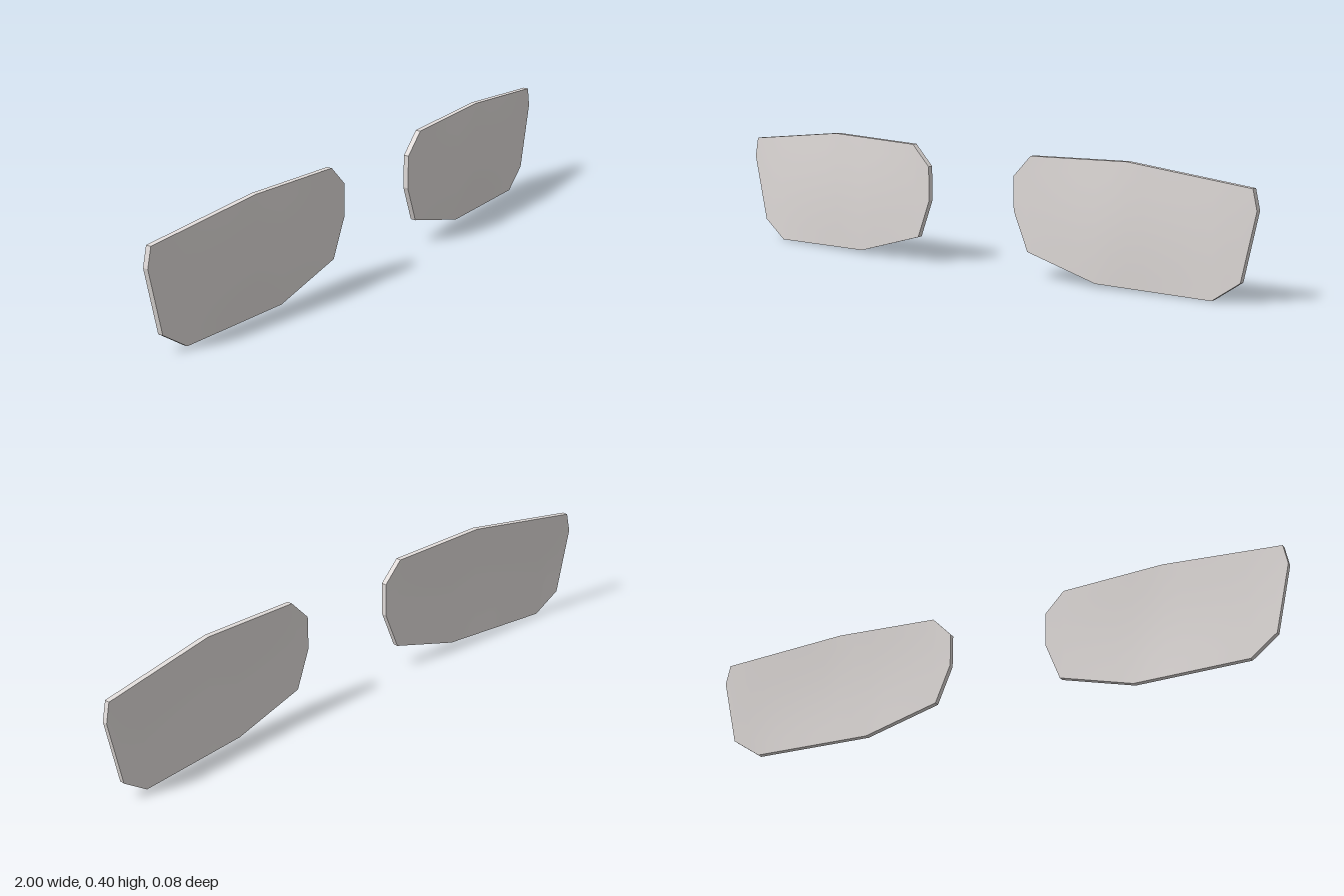
import * as THREE from 'three';

// Front outline of the left panel as [x, y, z]: upper and lower edges, inner end to outer end
const TOP = [[0.17, 0.318, 0.041], [0.235, 0.386, 0.041], [0.58, 0.395, 0.027], [0.985, 0.345, -0.019], [0.999, 0.28, -0.021]];
const BOTTOM = [[0.17, 0.208, 0.039], [0.22, 0.082, 0.035], [0.47, 0.01, 0.027], [0.86, 0, -0.008], [0.95, 0.062, -0.019], [0.999, 0.28, -0.021]];
const THICKNESS = 0.018;
const BULGE = 0.005;
const ROWS = 8;

// Point of an edge polyline at x
function edgePoint(edge, x) {
  const i = Math.max(1, edge.findIndex(p => x <= p[0]));
  const a = new THREE.Vector3(...edge[i - 1]), b = new THREE.Vector3(...edge[i]);
  return a.lerp(b, (x - a.x) / (b.x - a.x));
}

// Columns at every corner, with extra ones between distant corners
function columnPositions() {
  const corners = [...new Set([...TOP, ...BOTTOM].map(p => p[0]))].sort((a, b) => a - b);
  const xs = [corners[0]];
  for (let i = 1; i < corners.length; i++) {
    const a = corners[i - 1], b = corners[i], n = Math.ceil((b - a) / 0.06);
    for (let k = 1; k < n; k++) xs.push(a + (b - a) * k / n);
    xs.push(b);
  }
  return xs;
}

function makeGeometry(positions, indices) {
  const g = new THREE.BufferGeometry();
  g.setAttribute('position', new THREE.Float32BufferAttribute(positions, 3));
  g.setIndex(indices);
  return g;
}

// Smooth, slightly bulging face; side mirrors it in x, back faces it to -z
function faceGeometry(side, back) {
  const xs = columnPositions(), pos = [], idx = [];
  for (const x of xs) {
    const lo = edgePoint(BOTTOM, x), hi = edgePoint(TOP, x);
    const swell = BULGE * Math.sin(Math.PI * (x - 0.17) / 0.829);
    for (let r = 0; r <= ROWS; r++) {
      const p = lo.clone().lerp(hi, r / ROWS);
      const z = p.z + swell * Math.sin(Math.PI * r / ROWS);
      pos.push(side * x, p.y, z - (back ? THICKNESS : 0));
    }
  }
  const flip = (side < 0) !== back;
  for (let c = 0; c < xs.length - 1; c++) {
    for (let r = 0; r < ROWS; r++) {
      const a = c * (ROWS + 1) + r, b = a + ROWS + 1;
      if (flip) idx.push(a, b + 1, b, a, a + 1, b + 1);
      else idx.push(a, b, b + 1, a, b + 1, a + 1);
    }
  }
  const g = makeGeometry(pos, idx);
  g.computeVertexNormals();
  return g;
}

// Flat-shaded rim joining the two faces
function rimGeometry(side) {
  const loop = [...BOTTOM, ...TOP.slice(0, -1).reverse()];
  const pos = [], idx = [], n = loop.length;
  for (const [x, y, z] of loop) pos.push(side * x, y, z, side * x, y, z - THICKNESS);
  for (let i = 0; i < n; i++) {
    const a = 2 * i, b = 2 * ((i + 1) % n);
    if (side > 0) idx.push(a, a + 1, b + 1, a, b + 1, b);
    else idx.push(a, b + 1, a + 1, a, b, b + 1);
  }
  const g = makeGeometry(pos, idx).toNonIndexed();
  g.computeVertexNormals();
  return g;
}

export function createModel() {
  const model = new THREE.Group();
  const grey = new THREE.MeshStandardMaterial({ color: 0xe1dcda });
  grey.name = 'pale warm grey';

  // Mirrored pair of curved panels
  for (const [name, side] of [['leftPanel', 1], ['rightPanel', -1]]) {
    const panel = new THREE.Group();
    panel.name = name;
    const parts = {
      frontFace: faceGeometry(side, false),
      backFace: faceGeometry(side, true),
      rim: rimGeometry(side),
    };
    for (const [part, geometry] of Object.entries(parts)) {
      const mesh = new THREE.Mesh(geometry, grey);
      mesh.name = part;
      panel.add(mesh);
    }
    model.add(panel);
  }
  return model;
}
